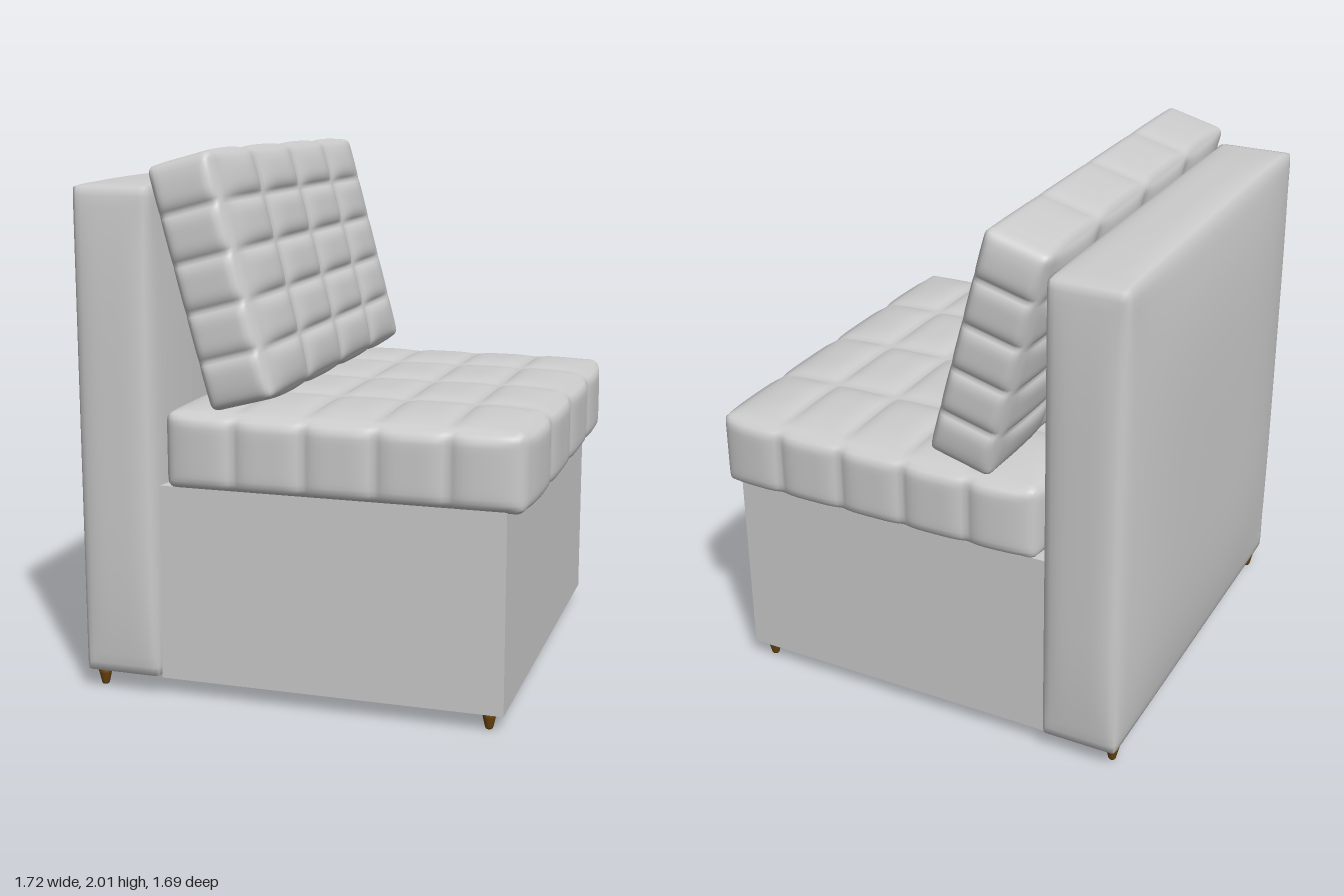
import * as THREE from 'three';
import { mergeVertices } from 'three/addons/utils/BufferGeometryUtils.js';

const fabric = new THREE.MeshStandardMaterial({ color: 0xcccccc });
const wood = new THREE.MeshStandardMaterial({ color: 0x6b4510 });
const AXES = ['x', 'y', 'z'];

// Rounded box whose faces puff out between a grid of seams.
// size, cells and puff are given per axis; edge sets how squarely the puff fills a face.
function padded({ size, cells, segments, puff, radius, edge, seam = 0.3, flatBottom = false }) {
  const box = new THREE.BoxGeometry(...size, ...segments);
  box.deleteAttribute('uv');
  box.deleteAttribute('normal');
  const geometry = mergeVertices(box);
  const pos = geometry.attributes.position;
  const p = new THREE.Vector3(), inner = new THREE.Vector3(), out = new THREE.Vector3();
  for (let i = 0; i < pos.count; i++) {
    p.fromBufferAttribute(pos, i);
    const face = [], cell = [];
    AXES.forEach((a, k) => {
      const half = size[k] / 2;
      inner[a] = THREE.MathUtils.clamp(p[a], -half + radius, half - radius);
      const u = p[a] / half;
      face[k] = Math.max(0, 1 - Math.abs(u) ** edge);
      // position inside one tuft, -1 to 1
      const t = (u + 1) / 2 * cells[k];
      const s = 2 * (t - Math.min(Math.floor(t + 1e-5), cells[k] - 1)) - 1;
      cell[k] = cells[k] > 1 ? Math.max(0, 1 - Math.abs(s) ** 4) : 1;
    });
    out.subVectors(p, inner).normalize();
    p.copy(inner).addScaledVector(out, radius);
    AXES.forEach((a, k) => {
      if (flatBottom && a === 'y' && out.y < 0) return;
      const m = (k + 1) % 3, n = (k + 2) % 3;
      p[a] += out[a] * puff[k] * face[m] * face[n] * (seam + (1 - seam) * cell[m] * cell[n]);
    });
    pos.setXYZ(i, p.x, p.y, p.z);
  }
  geometry.computeVertexNormals();
  return geometry;
}

function add(parent, name, geometry, material, x, y, z) {
  const mesh = new THREE.Mesh(geometry, material);
  mesh.name = name;
  mesh.position.set(x, y, z);
  parent.add(mesh);
  return mesh;
}

export function createModel() {
  const model = new THREE.Group();
  model.name = 'sofaModule';

  // Plain plinth under the seat
  add(model, 'base', new THREE.BoxGeometry(1.29, 0.735, 1.58), fabric, 0.125, 0.4325, 0);

  // Upholstered back panel, softly bulging on every side
  add(model, 'backPanel', padded({
    size: [0.295, 1.805, 1.635], cells: [1, 1, 1], segments: [16, 48, 48],
    puff: [0.048, 0.022, 0.026], radius: 0.015, edge: 4,
  }), fabric, -0.667, 0.975, 0);

  // Tufted seat cushion
  add(model, 'seatCushion', padded({
    size: [1.31, 0.285, 1.605], cells: [5, 1, 4], segments: [70, 16, 72],
    puff: [0.03, 0.032, 0.03], radius: 0.03, edge: 8, flatBottom: true,
  }), fabric, 0.175, 0.935, 0);

  // Tufted back cushion leaning against the panel
  const backCushion = add(model, 'backCushion', padded({
    size: [0.245, 0.885, 1.62], cells: [1, 5, 4], segments: [16, 70, 72],
    puff: [0.03, 0.014, 0.022], radius: 0.025, edge: 8, seam: 0.1,
  }), fabric, -0.298, 1.545, 0);
  backCushion.rotation.z = THREE.MathUtils.degToRad(15);

  // Turned tapered feet at the four corners
  const foot = new THREE.LatheGeometry(
    [[0, 0], [0.012, 0], [0.015, 0.006], [0.023, 0.042], [0.025, 0.048], [0.025, 0.075], [0, 0.075]]
      .map(([r, y]) => new THREE.Vector2(r, y)), 16);
  for (const [x, end] of [[-0.775, 'back'], [0.71, 'front']]) {
    for (const [z, side] of [[-0.745, 'Left'], [0.745, 'Right']]) {
      // seated facing +x, the sitter's left is -z
      add(model, `${end}${side}Foot`, foot, wood, x, 0, z);
    }
  }
  return model;
}
